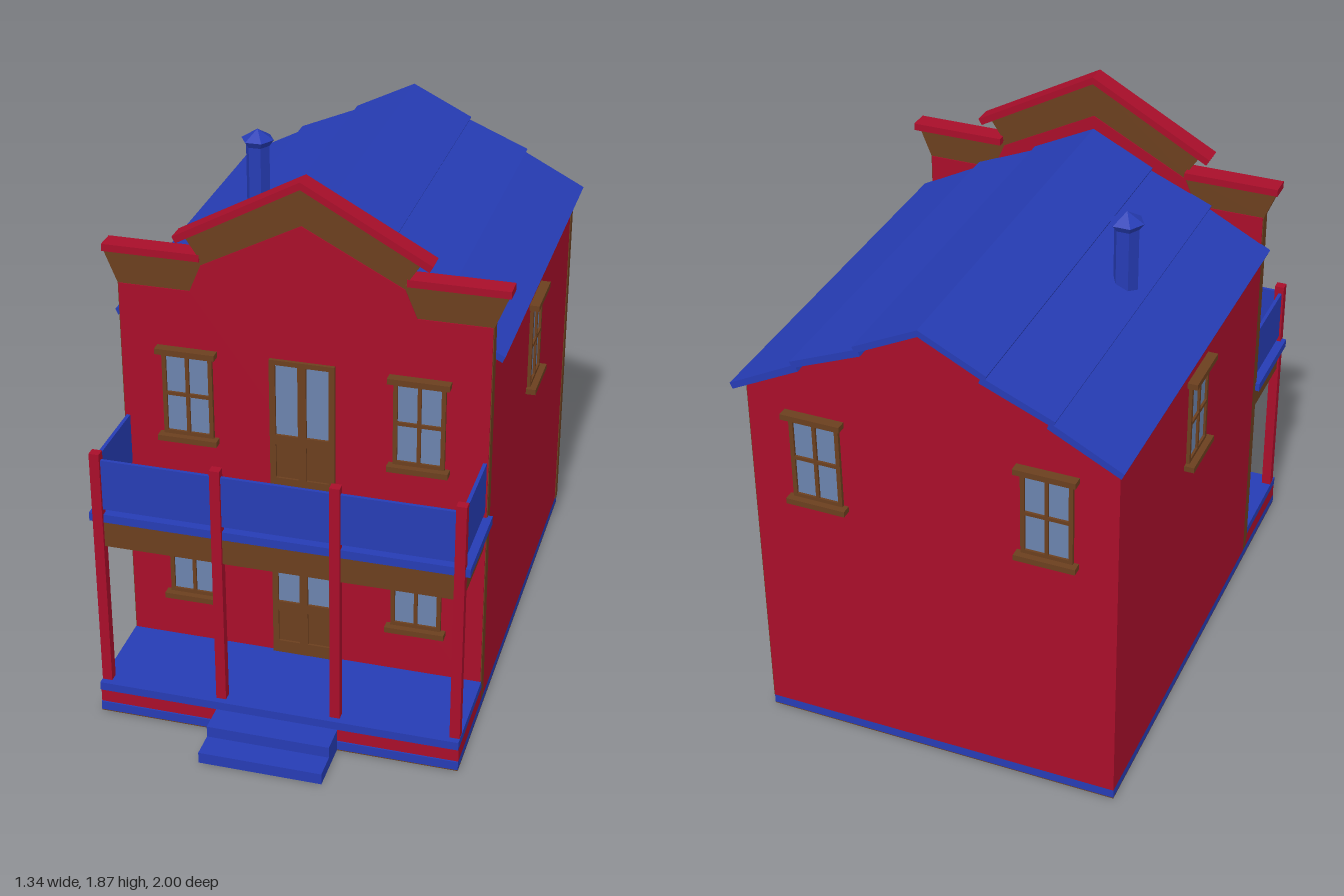
import * as THREE from 'three';

const mat = (color) => new THREE.MeshStandardMaterial({ color, flatShading: true });
const RED = mat(0xa80e2a), BLUE = mat(0x263cb4), BROWN = mat(0x6b3f1e), GLASS = mat(0x6b83ad);

export function createModel() {
  const model = new THREE.Group();

  const add = (name, geometry, material, parent = model) => {
    const mesh = new THREE.Mesh(geometry, material);
    mesh.name = name;
    parent.add(mesh);
    return mesh;
  };
  // box given by its extents
  const box = (name, material, [x0, x1], [y0, y1], [z0, z1], parent) => {
    const g = new THREE.BoxGeometry(x1 - x0, y1 - y0, z1 - z0);
    g.translate((x0 + x1) / 2, (y0 + y1) / 2, (z0 + z1) / 2);
    return add(name, g, material, parent);
  };
  // outline extruded from z0 to z1
  const toShape = (pts) => new THREE.Shape(pts.map(([x, y]) => new THREE.Vector2(x, y)));
  const slab = (name, material, shape, z0, z1, parent) => {
    const g = new THREE.ExtrudeGeometry(shape, { depth: z1 - z0, bevelEnabled: false });
    g.translate(0, 0, z0);
    return add(name, g, material, parent);
  };
  // mirrors a right half profile (listed bottom to top) into a full outline
  const symmetric = (half) => [
    ...half,
    ...half.filter(([x]) => x > 0).reverse().map(([x, y]) => [-x, y]),
  ];
  const rect = (x0, x1, y0, y1) => [[x0, y0], [x1, y0], [x1, y1], [x0, y1]];
  const frameShape = (outer, holes) => {
    const s = toShape(outer);
    holes.forEach((h) => s.holes.push(toShape([...h].reverse())));
    return s;
  };

  // foundation and porch
  box('underside', BROWN, [-0.62, 0.62], [0, 0.003], [-0.95, 0.815]);
  box('foundation', BLUE, [-0.62, 0.62], [0.003, 0.035], [-0.95, 0.815]);
  box('porchBase', RED, [-0.62, 0.62], [0.035, 0.085], [0.46, 0.81]);
  box('porchFloor', BLUE, [-0.62, 0.62], [0.085, 0.115], [0.46, 0.817]);
  box('upperStep', BLUE, [-0.21, 0.21], [0, 0.08], [0.8, 0.91]);
  box('lowerStep', BLUE, [-0.21, 0.21], [0, 0.04], [0.9, 1]);

  // house body with gable
  slab('walls', RED, toShape(symmetric([[0.62, 0.035], [0.62, 1.315], [0, 1.645]])), -0.95, 0.432);
  box('backCornerTrim', BROWN, [0.6, 0.623], [0.035, 1.315], [-0.948, -0.91]);

  // false front: brown core with a red panel showing on both faces
  slab('falseFrontCore', BROWN, toShape(symmetric([
    [0.62, 0.035], [0.62, 1.45], [0.665, 1.56], [0.335, 1.56], [0.385, 1.635], [0, 1.85],
  ])), 0.428, 0.468);
  slab('falseFrontPanel', RED, toShape(symmetric([
    [0.617, 0.036], [0.617, 1.45], [0.375, 1.45], [0.335, 1.545], [0, 1.72],
  ])), 0.425, 0.471);
  for (const s of [-1, 1]) {
    box('sideCornice', RED, s < 0 ? [-0.67, -0.34] : [0.34, 0.67], [1.555, 1.58], [0.4, 0.47]);
  }
  slab('pedimentCap', RED, toShape([
    [0, 1.845], [0.413, 1.617], [0.425, 1.638], [0, 1.87], [-0.425, 1.638], [-0.413, 1.617],
  ]), 0.41, 0.48);

  // roof: three overlapping boards on each slope
  const boards = [[0, 1.672, 0.218, 1.564], [0.2, 1.559, 0.434, 1.46], [0.415, 1.454, 0.65, 1.332]];
  for (const s of [-1, 1]) {
    boards.forEach(([x0, y0, x1, y1]) => {
      const nx = x0 === 0 ? 0 : 0.008;
      slab('roofBoard', BLUE, toShape([
        [s * x0, y0], [s * x1, y1], [s * (x1 - 0.009), y1 - 0.02], [s * (x0 - nx), y0 - 0.023],
      ]), -1, 0.428);
    });
  }

  // stove pipe
  const pipe = add('chimneyPipe', new THREE.CylinderGeometry(0.042, 0.042, 0.26, 6), BLUE);
  pipe.position.set(-0.36, 1.57, -0.22);
  const cap = add('chimneyCap', new THREE.LatheGeometry(
    [[0, 1.68], [0.035, 1.68], [0.058, 1.712], [0, 1.748]].map(([x, y]) => new THREE.Vector2(x, y)), 6), BLUE);
  cap.position.set(-0.36, 0, -0.22);
  pipe.rotation.y = cap.rotation.y = Math.PI / 6;

  // window, built facing +z with its sill at y = 0
  const addWindow = (x, y, z, turn) => {
    const w = new THREE.Group();
    w.name = 'window';
    box('glass', GLASS, [-0.08, 0.08], [0.02, 0.32], [-0.01, 0.004], w);
    const panes = [];
    for (const s of [-1, 1]) {
      for (const [a, b] of [[0.033, 0.164], [0.176, 0.307]]) {
        panes.push(s < 0 ? rect(-0.072, -0.006, a, b) : rect(0.006, 0.072, a, b));
      }
    }
    slab('frame', BROWN, frameShape(rect(-0.086, 0.086, 0.015, 0.325), panes), -0.005, 0.012, w);
    box('sill', BROWN, [-0.102, 0.102], [0, 0.02], [-0.005, 0.034], w);
    box('lintel', BROWN, [-0.102, 0.102], [0.32, 0.34], [-0.005, 0.034], w);
    w.position.set(x, y, z);
    w.rotation.y = turn;
    model.add(w);
  };
  for (const s of [-1, 1]) {
    addWindow(s * 0.39, 0.28, 0.471, 0);
    addWindow(s * 0.39, 0.905, 0.471, 0);
    addWindow(s * 0.39, 0.905, -0.95, Math.PI);
    addWindow(s * 0.62, 0.905, -0.24, s * Math.PI / 2);
  }

  // double doors: glazed above, panelled below
  for (const y of [0.115, 0.765]) {
    const door = new THREE.Group();
    door.name = 'door';
    const openings = [];
    for (const s of [-1, 1]) {
      const [a, b] = s < 0 ? [-0.09, -0.014] : [0.014, 0.09];
      box('doorGlass', GLASS, [a - 0.003, b + 0.003], [0.2, 0.475], [-0.01, 0.003], door);
      box('doorPanel', BROWN, [a - 0.003, b + 0.003], [0.04, 0.18], [-0.01, 0.004], door);
      openings.push(rect(a, b, 0.208, 0.465), rect(a, b, 0.047, 0.173));
    }
    slab('doorFrame', BROWN, frameShape(rect(-0.11, 0.11, 0, 0.482), openings), -0.005, 0.012, door);
    door.position.set(0, y, 0.471);
    model.add(door);
  }

  // balcony floor, beams, railing and posts
  box('balconyFloor', BLUE, [-0.635, 0.635], [0.735, 0.765], [0.455, 0.785]);
  box('frontBeam', BROWN, [-0.6, 0.6], [0.645, 0.736], [0.765, 0.785]);
  box('frontRailing', BLUE, [-0.6, 0.6], [0.785, 0.967], [0.773, 0.785]);
  for (const s of [-1, 1]) {
    const side = (name, m, a, b, y) =>
      box(name, m, s < 0 ? [-b, -a] : [a, b], y, [0.468, 0.775]);
    side('sideBeam', BROWN, 0.592, 0.612, [0.645, 0.736]);
    side('sideRailing', BLUE, 0.6, 0.612, [0.785, 0.967]);
    for (const px of [0.197, 0.602]) {
      box('post', RED, [s * px - 0.017, s * px + 0.017], [0.11, 0.993], [0.763, 0.795]);
    }
  }
  return model;
}
